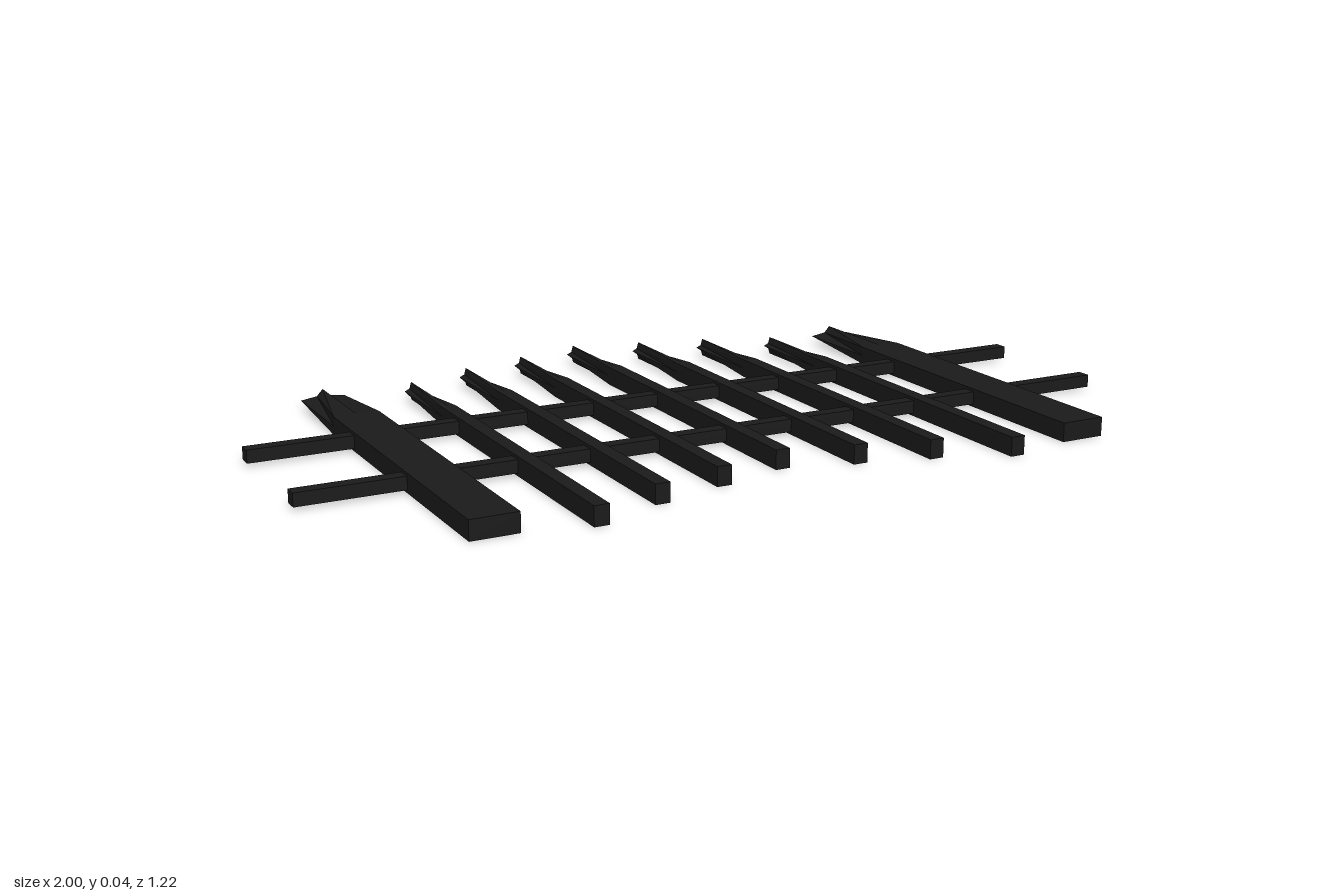
import * as THREE from 'three';

const THICK = 0.044, LENGTH = 1.06, TAPER = 0.25;

// Cross-section of eight points, counter-clockwise from +z; corner pulls the four corners inward
function ring(width, z, corner) {
  const dirs = [[1, 0], [1, 1], [0, 1], [-1, 1], [-1, 0], [-1, -1], [0, -1], [1, -1]];
  return dirs.map(([x, y], i) => {
    const k = i % 2 ? corner : 1;
    return [x * k * width / 2, y * k * THICK / 2, z];
  });
}

// Flat board whose far end narrows to a four-pointed tip
function boardGeometry(width) {
  const h = LENGTH / 2;
  const rings = [ring(width, h, 1), ring(width, -h + TAPER, 1), ring(width, -h, 0.27)];
  const points = [...rings.flat(), [0, 0, h], [0, 0, -h]];
  const index = [];
  for (let i = 0; i < 8; i++) {
    const j = (i + 1) % 8;
    for (let r = 0; r < 2; r++) {
      const a = r * 8 + i, b = r * 8 + j;
      index.push(a, a + 8, b, b, a + 8, b + 8);
    }
    index.push(24, i, j, 25, 16 + j, 16 + i);
  }
  const g = new THREE.BufferGeometry();
  g.setAttribute('position', new THREE.Float32BufferAttribute(points.flat(), 3));
  g.setIndex(index);
  const flat = g.toNonIndexed();
  flat.computeVertexNormals();
  return flat;
}

export function createModel() {
  const group = new THREE.Group();
  group.name = 'fence';
  const iron = new THREE.MeshStandardMaterial({ color: 0x1a1a1a });
  iron.name = 'black iron';

  const add = (name, geometry, x, y, z) => {
    const mesh = new THREE.Mesh(geometry, iron);
    mesh.name = name;
    mesh.position.set(x, y, z);
    group.add(mesh);
  };

  // Slim pickets, their tips following an arch
  const picket = boardGeometry(0.034);
  [[0, -0.08], [0.167, -0.035], [0.333, 0.01], [0.5, 0.076]].forEach(([x, z]) => {
    for (const s of x ? [-1, 1] : [1]) add('picket', picket, s * x, THICK / 2, z);
  });

  // Wide end posts
  const post = boardGeometry(0.107);
  for (const s of [-1, 1]) add('post', post, s * 0.708, THICK / 2, 0.04);

  // Two rails through all pickets
  const rail = new THREE.BoxGeometry(2, 0.03, 0.033);
  for (const z of [-0.115, 0.219]) add('rail', rail, 0, THICK / 2, z);

  return group;
}
